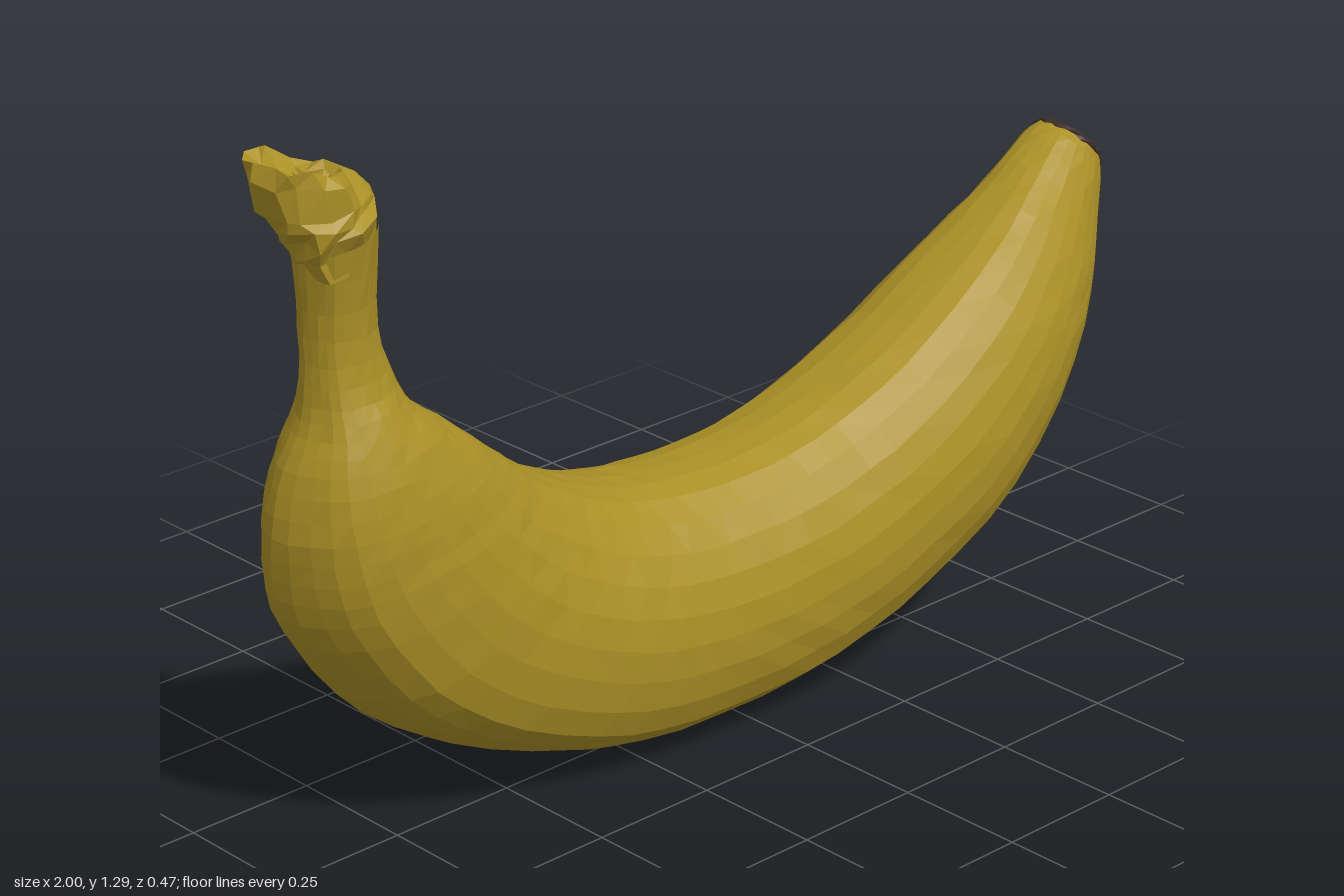
import * as THREE from 'three';

const peel = new THREE.MeshStandardMaterial({ color: 0xab9026, flatShading: true });
peel.name = 'peel yellow';
const blossom = new THREE.MeshStandardMaterial({ color: 0x3f2c27, flatShading: true });
blossom.name = 'dried brown';

// Unit cross-section (towards the outer curve, towards +z): a shallow keel
// outside, full flanks and a flatter inner side
const section = new THREE.CatmullRomCurve3([
  [1, -0.1], [0.9, 0.4], [0.68, 0.8], [0.25, 0.98], [-0.2, 0.98], [-0.62, 0.8], [-0.93, 0.46],
  [-1, 0], [-0.93, -0.46], [-0.62, -0.8], [-0.2, -0.98], [0.25, -0.98], [0.6, -0.85], [0.86, -0.5],
].map(([c, s]) => new THREE.Vector3(c, s, 0)), true, 'catmullrom', 0.5);

// Small seeded random in -1..1
function seeded(seed) {
  let s = seed;
  return () => {
    s = (s * 16807) % 2147483647;
    return (s / 2147483647) * 2 - 1;
  };
}

// Loft through stations [outerX, outerY, innerX, innerY, zCentre, zHalfWidth]
function loft(name, material, stations, { rows, sides, jitter, seed }) {
  const outer = new THREE.CatmullRomCurve3(stations.map(s => new THREE.Vector3(s[0], s[1], s[4])), false, 'catmullrom', 0.5);
  const inner = new THREE.CatmullRomCurve3(stations.map(s => new THREE.Vector3(s[2], s[3], s[5])), false, 'catmullrom', 0.5);
  const rand = seeded(seed);
  const positions = [], index = [];
  for (let i = 0; i <= rows; i++) {
    const o = outer.getPoint(i / rows), n = inner.getPoint(i / rows);
    for (let j = 0; j < sides; j++) {
      const p = section.getPoint(j / sides);
      positions.push(
        (o.x + n.x) / 2 + p.x * (o.x - n.x) / 2 + rand() * jitter,
        (o.y + n.y) / 2 + p.x * (o.y - n.y) / 2 + rand() * jitter,
        o.z + n.z * p.y + rand() * jitter);
      if (i < rows) {
        const k = (j + 1) % sides, a = i * sides, b = a + sides;
        index.push(a + j, b + j, a + k, b + j, b + k, a + k);
      }
    }
  }
  const geometry = new THREE.BufferGeometry();
  geometry.setAttribute('position', new THREE.Float32BufferAttribute(positions, 3));
  geometry.setIndex(index);
  geometry.computeVertexNormals();
  const mesh = new THREE.Mesh(geometry, material);
  mesh.name = name;
  return mesh;
}

export function createModel() {
  const group = new THREE.Group();
  group.name = 'banana';

  // Curved fruit, from the stem to the blossom end
  group.add(loft('fruit', peel, [
    [-0.93, 1.13, -0.79, 1.17, 0.022, 0.073],
    [-0.917, 1.00, -0.787, 1.00, 0.01, 0.06],
    [-0.918, 0.89, -0.765, 0.90, 0.01, 0.066],
    [-0.93, 0.82, -0.73, 0.83, 0.01, 0.092],
    [-0.96, 0.75, -0.66, 0.775, 0.005, 0.122],
    [-0.98, 0.65, -0.57, 0.70, -0.003, 0.15],
    [-0.975, 0.55, -0.49, 0.635, -0.015, 0.17],
    [-0.94, 0.44, -0.42, 0.585, -0.028, 0.188],
    [-0.83, 0.28, -0.34, 0.545, -0.035, 0.2],
    [-0.67, 0.15, -0.26, 0.515, -0.033, 0.205],
    [-0.45, 0.05, -0.18, 0.50, -0.025, 0.21],
    [-0.25, 0.005, -0.10, 0.495, -0.015, 0.21],
    [0.00, 0.006, 0.00, 0.50, 0, 0.21],
    [0.20, 0.04, 0.12, 0.52, 0.012, 0.21],
    [0.40, 0.11, 0.25, 0.56, 0.02, 0.21],
    [0.60, 0.215, 0.40, 0.625, 0.025, 0.205],
    [0.78, 0.37, 0.57, 0.715, 0.02, 0.183],
    [0.90, 0.53, 0.70, 0.785, 0.01, 0.14],
    [0.96, 0.65, 0.80, 0.84, -0.005, 0.105],
    [0.99, 0.75, 0.88, 0.883, -0.018, 0.082],
    [1.00, 0.80, 0.915, 0.89, -0.022, 0.07],
  ], { rows: 50, sides: 28, jitter: 0.0015, seed: 7 }));

  // Ragged, bent-over cut end of the stem, from its pit out over the rim
  group.add(loft('stemEnd', peel, [
    [-0.90, 1.225, -0.89, 1.225, 0, 0.005],
    [-0.93, 1.245, -0.87, 1.23, 0, 0.035],
    [-0.99, 1.297, -0.84, 1.25, -0.007, 0.077],
    [-0.975, 1.20, -0.80, 1.215, 0.005, 0.085],
    [-0.955, 1.15, -0.79, 1.185, 0.02, 0.077],
    [-0.922, 1.09, -0.79, 1.12, 0.015, 0.064],
  ], { rows: 10, sides: 15, jitter: 0.01, seed: 31 }));

  // Dried blossom tip with a sunken middle, its rim lapping the peel
  group.add(loft('blossomTip', blossom, [
    [0.998, 0.79, 0.907, 0.889, -0.022, 0.073],
    [1.0, 0.803, 0.918, 0.893, -0.022, 0.073],
    [0.988, 0.822, 0.942, 0.877, -0.022, 0.045],
    [0.967, 0.83, 0.945, 0.857, -0.022, 0.022],
    [0.955, 0.842, 0.953, 0.844, -0.022, 0.002],
  ], { rows: 8, sides: 28, jitter: 0.003, seed: 99 }));

  return group;
}
